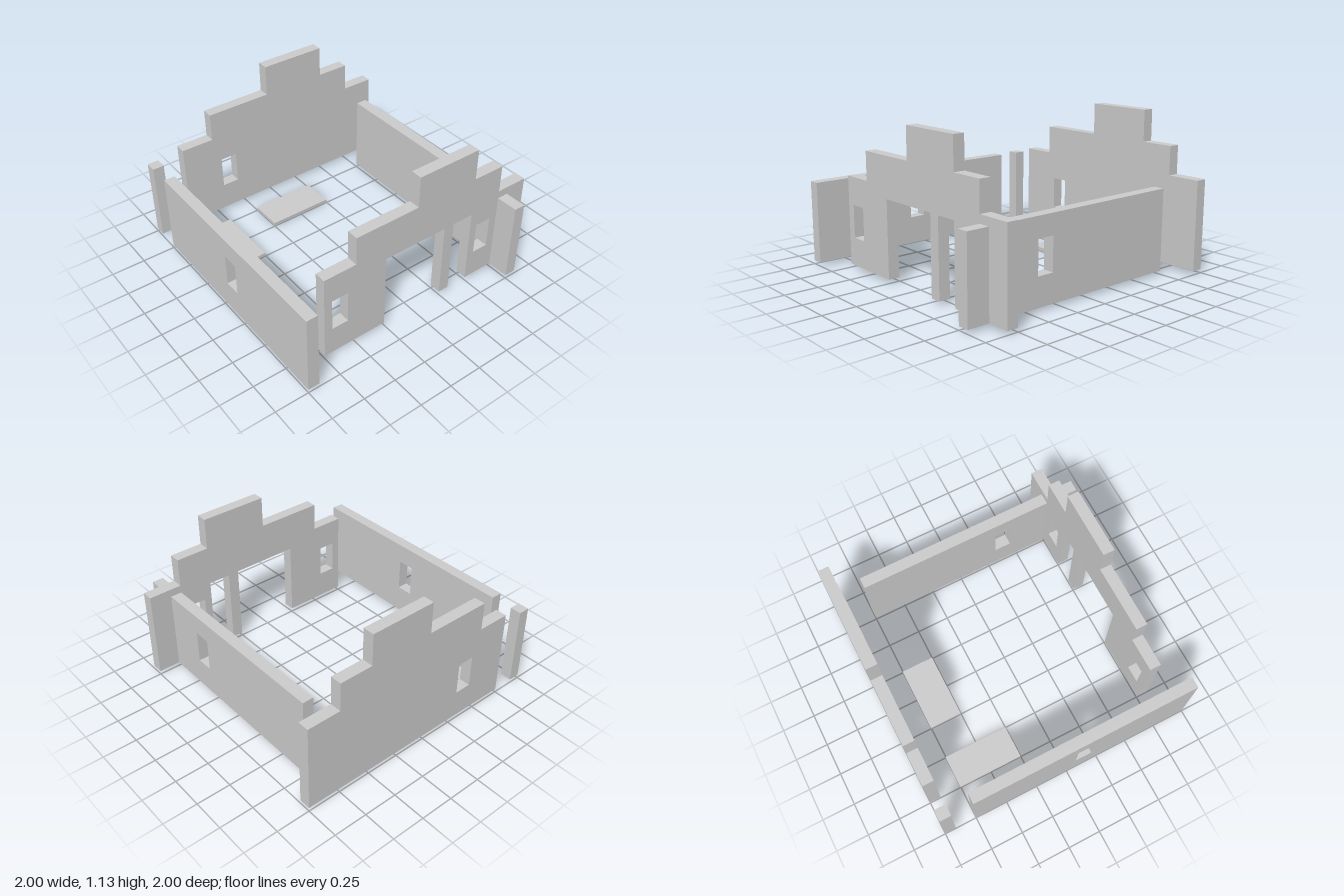
import * as THREE from 'three';

const BASE = 0.027, WALL_TOP = 0.628, DOOR_TOP = 0.6, THICK = 0.085;
const WINDOW_W = 0.127, WINDOW_LOW = 0.237, WINDOW_HIGH = 0.48;

const material = new THREE.MeshStandardMaterial({ color: 0xcccccc, flatShading: true });

// Outline with window holes, extruded to wall thickness along +z
function wallGeometry(points, windows) {
  const shape = new THREE.Shape(points.map(([u, v]) => new THREE.Vector2(u, v)));
  for (const u of windows) {
    const a = u - WINDOW_W / 2, b = u + WINDOW_W / 2;
    shape.holes.push(new THREE.Path([
      new THREE.Vector2(a, WINDOW_LOW), new THREE.Vector2(a, WINDOW_HIGH),
      new THREE.Vector2(b, WINDOW_HIGH), new THREE.Vector2(b, WINDOW_LOW),
    ]));
  }
  return new THREE.ExtrudeGeometry(shape, { depth: THICK, bevelEnabled: false });
}

// Stepped gable outline, with door openings cut up from the bottom edge
function gableOutline(doors) {
  const points = [[-0.75, BASE]];
  for (const [a, b] of doors) {
    points.push([a, BASE], [a, DOOR_TOP], [b, DOOR_TOP], [b, BASE]);
  }
  points.push(
    [1, BASE], [1, 0.687], [0.75, 0.687], [0.75, 0.9], [0.5, 0.9], [0.5, 1.135],
    [0, 1.135], [0, 0.9], [-0.5, 0.9], [-0.5, 0.687], [-0.75, 0.687]);
  return points;
}

export function createModel() {
  const group = new THREE.Group();
  const add = (name, geometry) => {
    const mesh = new THREE.Mesh(geometry, material);
    mesh.name = name;
    group.add(mesh);
    return mesh;
  };
  const addBox = (name, x0, x1, y0, y1, z0, z1) =>
    add(name, new THREE.BoxGeometry(x1 - x0, y1 - y0, z1 - z0))
      .position.set((x0 + x1) / 2, (y0 + y1) / 2, (z0 + z1) / 2);

  // Front wall: wide doorway, narrow doorway, two windows
  const doors = [[-0.253, 0.25], [0.333, 0.5]];
  add('frontWall', wallGeometry(gableOutline(doors), [-0.625, 0.622])).position.z = 0.75;

  // Back wall: one window
  add('backWall', wallGeometry(gableOutline([]), [-0.375])).position.z = -1;

  // Side walls: drawn along z, then turned so the thickness runs along -x
  const sideOutline = [[-0.75, BASE], [1, BASE], [1, WALL_TOP], [-0.75, WALL_TOP]];
  for (const [name, outerX, windowZ] of [['leftWall', 0.75 + THICK, 0.375], ['rightWall', -1 + THICK, 0.125]]) {
    const wall = add(name, wallGeometry(sideOutline, [windowZ]));
    wall.rotation.y = -Math.PI / 2;
    wall.position.x = outerX;
  }

  // Free-standing post at the back corner
  addBox('cornerPost', -1, -1 + THICK, BASE, WALL_TOP, -1, -1 + THICK);

  // Thin floor slabs
  addBox('cornerFloorSlab', -0.75, -0.5, 0, BASE, -0.753, -0.253);
  addBox('middleFloorSlab', -0.25, 0.25, 0, BASE, -0.753, -0.503);

  return group;
}
